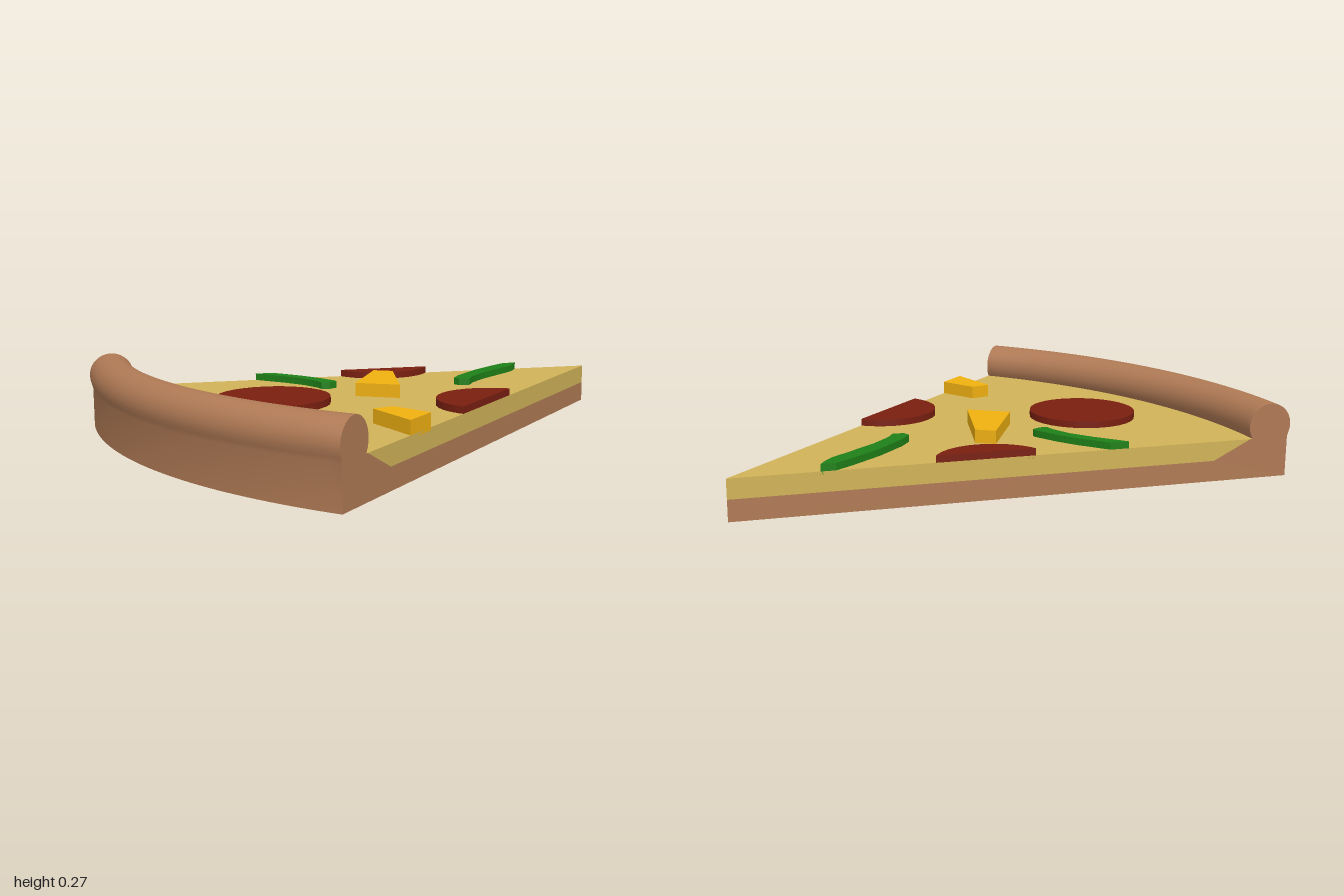
import * as THREE from 'three';
import { toCreasedNormals } from 'three/addons/utils/BufferGeometryUtils.js';

const HALF = Math.atan(0.432);   // half angle of the slice
const TOP = 0.145;               // height of the cheese
const V = (x, y) => new THREE.Vector2(x, y);

const mats = {};
for (const [k, c] of Object.entries({
  crust: 0xb07a55, cheese: 0xd0b358, pepperoni: 0x7a1f10, pineapple: 0xf0b010, pepper: 0x1f8018,
})) mats[k] = new THREE.MeshStandardMaterial({ color: c, side: THREE.DoubleSide });

function addMesh(group, name, geo, mat) {
  const m = new THREE.Mesh(geo, mat);
  m.name = name;
  group.add(m);
}

// Swept surface around the tip, closed by a cut face on each side
function wedge(name, surface, section, mat) {
  const g = new THREE.Group();
  g.name = name;
  const swept = new THREE.LatheGeometry(surface, 32, -HALF, 2 * HALF);
  addMesh(g, name + 'Surface', toCreasedNormals(swept, 0.5), mat);
  for (const s of [-1, 1]) {
    const cut = new THREE.ShapeGeometry(new THREE.Shape(section));
    cut.rotateY(s * HALF - Math.PI / 2);
    addMesh(g, name + (s > 0 ? 'LeftCut' : 'RightCut'), cut, mat);
  }
  g.position.z = -1;
  return g;
}

// Trim an outline of [x, z] points to the straight edge on side s
function trim(pts, s) {
  const dist = p => 0.432 * (p[1] + 1) - s * p[0];
  const out = [];
  pts.forEach((p, i) => {
    const q = pts[(i + 1) % pts.length], a = dist(p), b = dist(q);
    if (a >= 0) out.push(p);
    if ((a >= 0) !== (b >= 0)) {
      const t = a / (a - b);
      out.push([p[0] + (q[0] - p[0]) * t, p[1] + (q[1] - p[1]) * t]);
    }
  });
  return out;
}

// Flat topping, cut off where it crosses the edge of the slice
function topping(group, name, outline, top, mat) {
  const pts = trim(trim(outline, 1), -1).map(p => V(p[0], -p[1]));
  const base = TOP - 0.01;
  const geo = new THREE.ExtrudeGeometry(new THREE.Shape(pts), { depth: top - base, bevelEnabled: false });
  geo.rotateX(-Math.PI / 2).translate(0, base, 0);
  addMesh(group, name, toCreasedNormals(geo, 0.5), mat);
}

export function createModel() {
  const model = new THREE.Group();
  model.name = 'pizzaSlice';

  // Crust: thin base, upright rim and rounded roll
  const profile = [V(0, 0), V(1.985, 0), V(1.985, TOP)];
  for (let i = 1; i <= 20; i++) {
    const a = -0.6 + (i / 20) * (Math.PI + 1.2);
    profile.push(V(1.915 + 0.08 * Math.cos(a), 0.19 + 0.08 * Math.sin(a)));
  }
  const slope = [V(1.84, TOP), V(1.7, 0.075), V(0, 0.075)];
  model.add(wedge('crust', profile, [...profile, ...slope], mats.crust));

  // Cheese layer
  model.add(wedge('cheese', [V(1.86, TOP), V(0, TOP)],
    [V(0, 0.075), V(1.7, 0.075), V(1.84, TOP), V(0, TOP)], mats.cheese));

  // Pepperoni discs
  [[-0.09, 0.475], [-0.43, -0.25], [0.415, -0.1]].forEach(([x, z], n) => {
    const ring = [];
    for (let i = 0; i < 32; i++) {
      const a = (i / 32) * 2 * Math.PI;
      ring.push([x + 0.2 * Math.cos(a), z + 0.2 * Math.sin(a)]);
    }
    topping(model, 'pepperoni' + (n + 1), ring, 0.17, mats.pepperoni);
  });

  // Pineapple chunks
  topping(model, 'pineapple1', [[-0.21, -0.06], [-0.15, -0.105], [0.11, 0.07], [-0.02, 0.17]], 0.193, mats.pineapple);
  topping(model, 'pineapple2', [[0.415, 0.345], [0.405, 0.42], [0.7, 0.453], [0.7, 0.29]], 0.193, mats.pineapple);

  // Green pepper strips
  topping(model, 'pepperStrip1', [
    [-0.145, -0.7], [-0.122, -0.6], [-0.08, -0.46], [-0.025, -0.33], [0.01, -0.275], [0.04, -0.275], [0.06, -0.31],
    [0.03, -0.35], [-0.01, -0.44], [-0.05, -0.57], [-0.073, -0.65], [-0.095, -0.69], [-0.12, -0.725],
  ], 0.17, mats.pepper);
  topping(model, 'pepperStrip2', [
    [-0.6, 0.232], [-0.52, 0.198], [-0.4, 0.152], [-0.32, 0.13], [-0.22, 0.115], [-0.205, 0.12], [-0.2, 0.155],
    [-0.215, 0.18], [-0.25, 0.174], [-0.33, 0.18], [-0.42, 0.208], [-0.545, 0.26], [-0.6, 0.285],
  ], 0.17, mats.pepper);

  return model;
}
